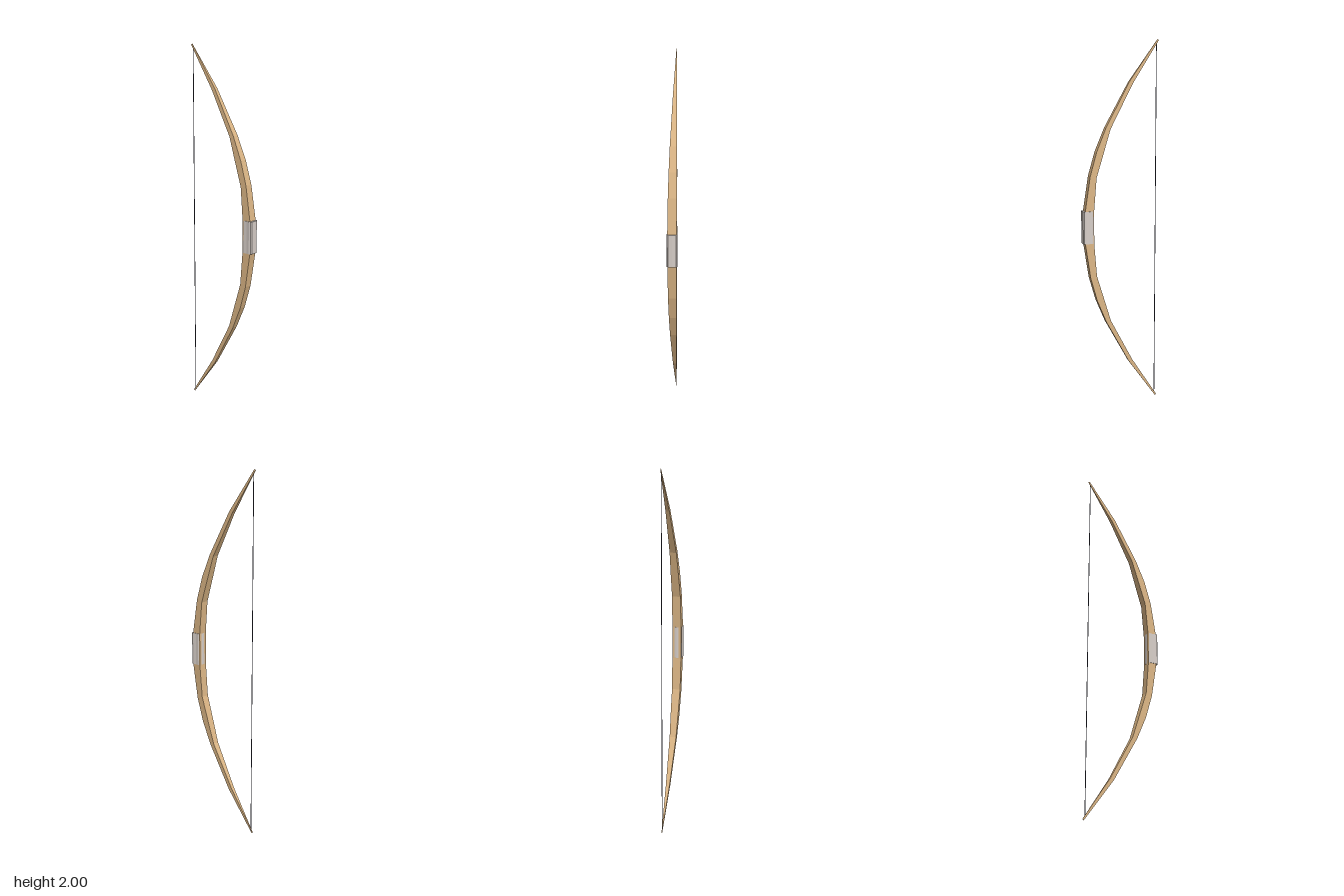
import * as THREE from 'three';

const MID = 1;

// Square-edged limb lofted through stations: [innerX, innerY, outerX, outerY, halfWidth], y from the middle
function loft(stations) {
  const pos = [], idx = [];
  for (const [ix, iy, ox, oy, w] of stations) {
    pos.push(ix, iy + MID, w, ox, oy + MID, w, ox, oy + MID, -w, ix, iy + MID, -w);
  }
  const n = stations.length;
  for (let s = 0; s < n - 1; s++) {
    for (let k = 0; k < 4; k++) {
      const a = s * 4 + k, b = s * 4 + (k + 1) % 4;
      idx.push(a, b, b + 4, a, b + 4, a + 4);
    }
  }
  const e = (n - 1) * 4;
  idx.push(0, 2, 1, 0, 3, 2, e, e + 1, e + 2, e, e + 2, e + 3);
  const indexed = new THREE.BufferGeometry();
  indexed.setAttribute('position', new THREE.Float32BufferAttribute(pos, 3));
  indexed.setIndex(idx);
  const geo = indexed.toNonIndexed();
  geo.computeVertexNormals();
  return geo;
}

export function createModel() {
  const group = new THREE.Group();
  const add = (name, geo, color) => {
    const mesh = new THREE.Mesh(geo, new THREE.MeshStandardMaterial({ color }));
    mesh.name = name;
    group.add(mesh);
    return mesh;
  };

  // Bow stave: upper half, mirrored to the lower half
  const upper = [
    [0.155, 0.09, 0.204, 0.09, 0.025],
    [0.14, 0.27, 0.175, 0.28, 0.0235],
    [0.1, 0.4, 0.138, 0.41, 0.0215],
    [0.06, 0.53, 0.086, 0.535, 0.0185],
    [-0.066, 0.768, -0.045, 0.775, 0.0105],
    [-0.213, 0.994, -0.206, 1.0, 0.001],
  ];
  const lower = upper.map(([ix, iy, ox, oy, w]) => [ix, -iy, ox, -oy, w]).reverse();
  add('stave', loft([...lower, ...upper]), 0xdeb887);

  // Grip wrap: waisted outline in x and z, extruded upward
  const outline = [
    [0.216, 0], [0.215, 0.021], [0.21, 0.027], [0.2, 0.0295], [0.182, 0.0265],
    [0.165, 0.0275], [0.156, 0.023], [0.154, 0],
  ];
  const half = outline.map(([x, z]) => new THREE.Vector2(x, z));
  const back = outline.slice(1, -1).reverse().map(([x, z]) => new THREE.Vector2(x, -z));
  const grip = new THREE.ExtrudeGeometry(new THREE.Shape([...half, ...back]), {
    depth: 0.178, bevelEnabled: false,
  });
  grip.rotateX(-Math.PI / 2);
  grip.translate(0, MID - 0.087, 0);
  add('grip', grip, 0xd8cfc9);

  // Bowstring between the tips
  const string = add('bowstring', new THREE.CylinderGeometry(0.002, 0.002, 1.97, 6), 0x555566);
  string.position.set(-0.2, MID, 0);

  return group;
}
